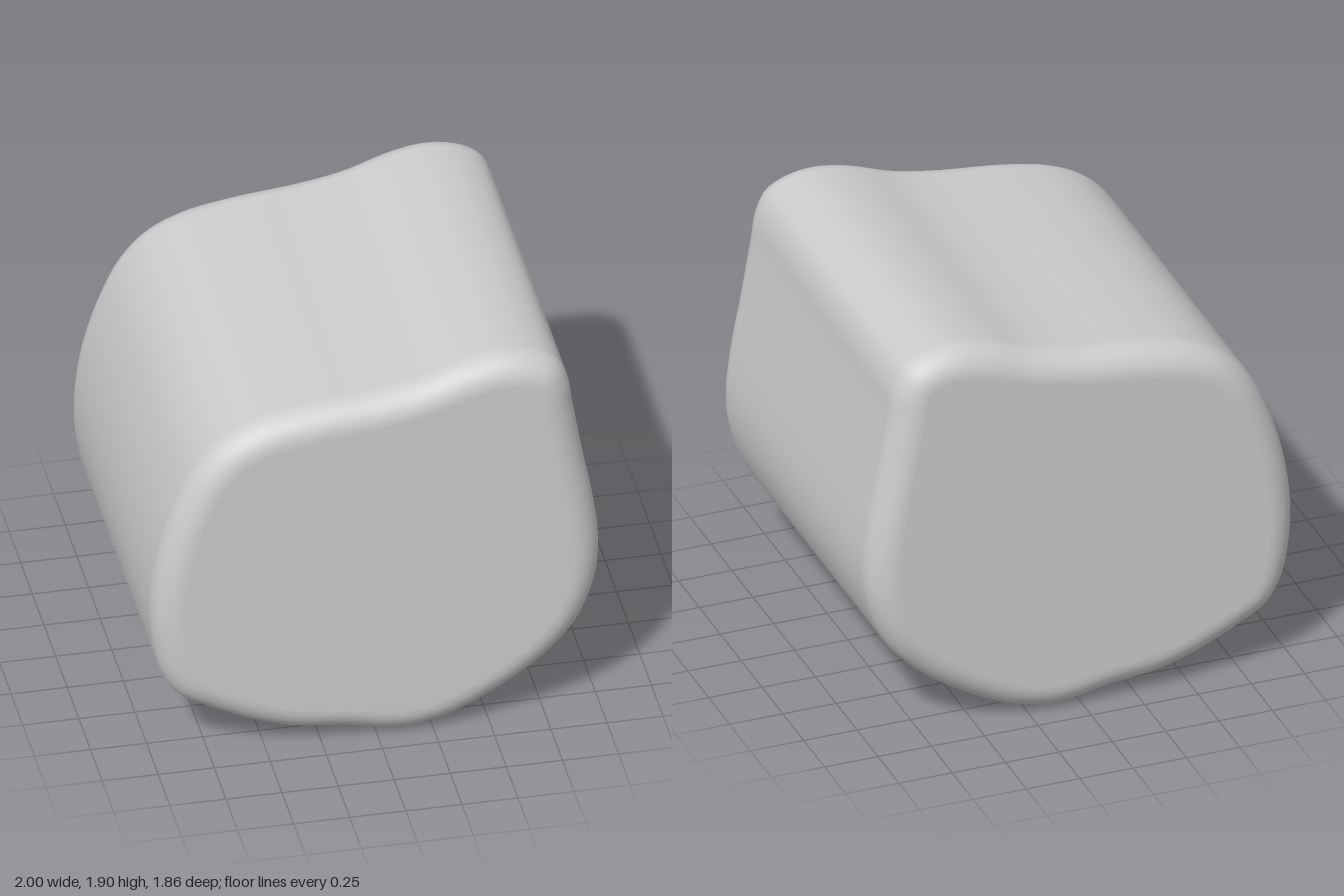
import * as THREE from 'three';

// Silhouette, counter-clockwise as seen from the front
const OUTLINE = [
  [0.11, 0], [0.3, 0.03], [0.5, 0.12], [0.75, 0.29], [0.9, 0.46], [0.98, 0.66], [1, 0.84],
  [0.98, 1.05], [0.93, 1.32], [0.885, 1.58], [0.86, 1.73], [0.81, 1.825], [0.71, 1.88],
  [0.58, 1.9], [0.42, 1.875], [0.2, 1.8], [0, 1.762], [-0.3, 1.727], [-0.52, 1.68],
  [-0.68, 1.6], [-0.8, 1.47], [-0.9, 1.26], [-0.97, 1.02], [-1, 0.78], [-0.99, 0.58],
  [-0.95, 0.41], [-0.88, 0.3], [-0.75, 0.22], [-0.55, 0.125], [-0.38, 0.07], [-0.15, 0.04],
];
const HALF_DEPTH = 0.93;
const RADIUS = 0.13;
const SIDES = 180;
const BEVEL_STEPS = 10;

function roundedPrism() {
  const curve = new THREE.CatmullRomCurve3(OUTLINE.map(([x, y]) => new THREE.Vector3(x, y, 0)), true);
  curve.arcLengthDivisions = 800;
  const rim = curve.getSpacedPoints(SIDES).slice(0, SIDES);
  const inward = rim.map((p, i) => {
    const t = rim[(i + 2) % SIDES].clone().sub(rim[(i + SIDES - 2) % SIDES]).normalize();
    return new THREE.Vector2(-t.y, t.x);
  });

  // Rings from back to front: each is the silhouette, inset along a quarter round
  const rings = [];
  for (let k = 0; k <= BEVEL_STEPS; k++) {
    const a = (k / BEVEL_STEPS) * Math.PI / 2;
    const inset = RADIUS * (1 - Math.cos(a));
    const z = HALF_DEPTH - RADIUS + RADIUS * Math.sin(a);
    rings.unshift([inset, -z]);
    rings.push([inset, z]);
  }
  const positions = [];
  const index = [];
  rings.forEach(([inset, z], r) => {
    for (let j = 0; j < SIDES; j++) {
      positions.push(rim[j].x + inward[j].x * inset, rim[j].y + inward[j].y * inset, z);
      if (r === rings.length - 1) continue;
      const a = r * SIDES + j, b = r * SIDES + (j + 1) % SIDES;
      index.push(a, b, b + SIDES, a, b + SIDES, a + SIDES);
    }
  });

  // Flat end faces
  const cap = rim.map((p, j) => new THREE.Vector2(p.x, p.y).addScaledVector(inward[j], RADIUS));
  const front = (rings.length - 1) * SIDES;
  for (const [a, b, c] of THREE.ShapeUtils.triangulateShape(cap, [])) {
    index.push(front + a, front + b, front + c, a, c, b);
  }

  const geometry = new THREE.BufferGeometry();
  geometry.setAttribute('position', new THREE.Float32BufferAttribute(positions, 3));
  geometry.setIndex(index);
  geometry.computeVertexNormals();
  return geometry;
}

export function createModel() {
  const group = new THREE.Group();
  group.name = 'roundedBlock';
  const body = new THREE.Mesh(roundedPrism(), new THREE.MeshStandardMaterial({ color: 0xcccccc }));
  body.name = 'body';
  group.add(body);
  return group;
}
